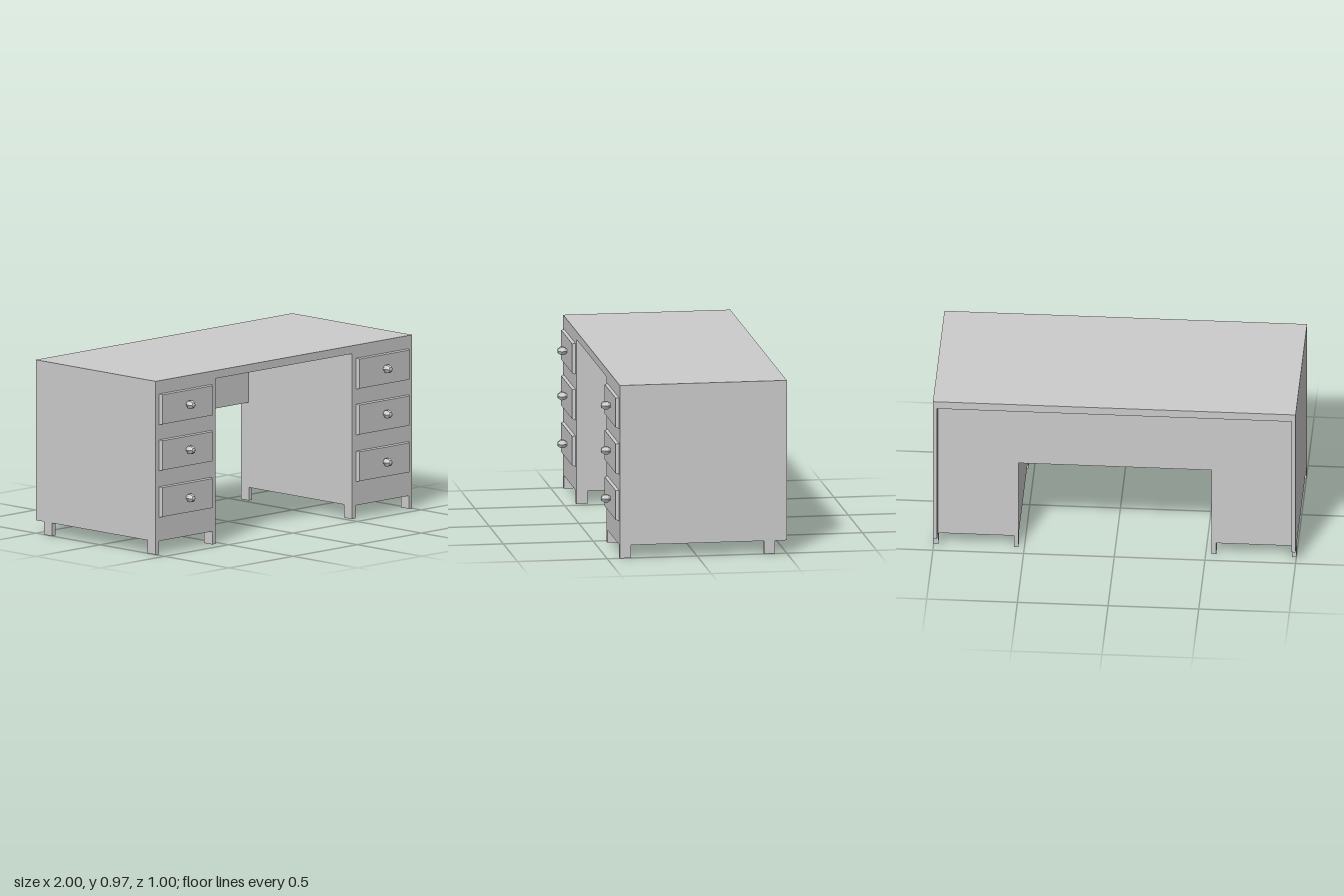
import * as THREE from 'three';

const material = new THREE.MeshStandardMaterial({ color: 0xcccccc, flatShading: true });

// Box given by its minimum and maximum on each axis
function box(name, [x0, x1], [y0, y1], [z0, z1]) {
  const geo = new THREE.BoxGeometry(x1 - x0, y1 - y0, z1 - z0);
  geo.translate((x0 + x1) / 2, (y0 + y1) / 2, (z0 + z1) / 2);
  const mesh = new THREE.Mesh(geo, material);
  mesh.name = name;
  return mesh;
}

// Drawer front: a shallow slab whose front face is pulled in for a bevel
function drawerFront(y0, y1) {
  const mesh = box('drawerFront', [0.56, 0.976], [y0, y1], [0.425, 0.447]);
  const p = mesh.geometry.attributes.position;
  const cx = 0.768, cy = (y0 + y1) / 2;
  for (let i = 0; i < p.count; i++) {
    if (p.getZ(i) < 0.44) continue;
    p.setX(i, p.getX(i) - Math.sign(p.getX(i) - cx) * 0.014);
    p.setY(i, p.getY(i) - Math.sign(p.getY(i) - cy) * 0.005);
  }
  return mesh;
}

// Faceted six-sided knob, its axis along z
function knob(y) {
  const profile = [[0, 0], [0.013, 0], [0.025, 0.016], [0.025, 0.034], [0.014, 0.049], [0, 0.053]]
    .map(([r, h]) => new THREE.Vector2(r, h));
  const geo = new THREE.LatheGeometry(profile, 6, Math.PI / 2);
  geo.rotateX(Math.PI / 2);
  const mesh = new THREE.Mesh(geo, material);
  mesh.name = 'knob';
  mesh.position.set(0.768, y, 0.447);
  return mesh;
}

// One pedestal on the +x side, moved to the other side when side is -1
function pedestal(side) {
  const group = new THREE.Group();
  group.name = side > 0 ? 'leftPedestal' : 'rightPedestal';
  group.add(box('cabinet', [0.533, 1], [0.073, 0.925], [-0.435, 0.43]));
  // Side panel running past the recessed back
  group.add(box('sidePanel', [0.977, 1], [0.073, 0.925], [-0.5, -0.435]));
  // Four short feet
  for (const x of [[0.533, 0.558], [0.975, 1]]) {
    for (const z of [[0.367, 0.43], [-0.435, -0.373]]) {
      group.add(box('foot', x, [0, 0.073], z));
    }
  }
  // Three drawers with knobs
  for (const [y0, y1, ky] of [[0.722, 0.897, 0.815], [0.465, 0.64, 0.562], [0.204, 0.378, 0.293]]) {
    group.add(drawerFront(y0, y1), knob(ky));
  }
  // Every part is symmetric in x about its own centre, so a shift mirrors it
  if (side < 0) {
    for (const mesh of group.children) {
      mesh.geometry.computeBoundingBox();
      const c = mesh.geometry.boundingBox.getCenter(new THREE.Vector3());
      mesh.position.x = -mesh.position.x - 2 * c.x;
    }
  }
  return group;
}

export function createModel() {
  const desk = new THREE.Group();
  desk.name = 'desk';
  desk.add(box('desktop', [-1, 1], [0.925, 0.97], [-0.5, 0.43]));
  // Panel closing the back of the knee space
  desk.add(box('modestyPanel', [-0.533, 0.533], [0.548, 0.925], [-0.435, -0.375]));
  desk.add(pedestal(1), pedestal(-1));
  return desk;
}
